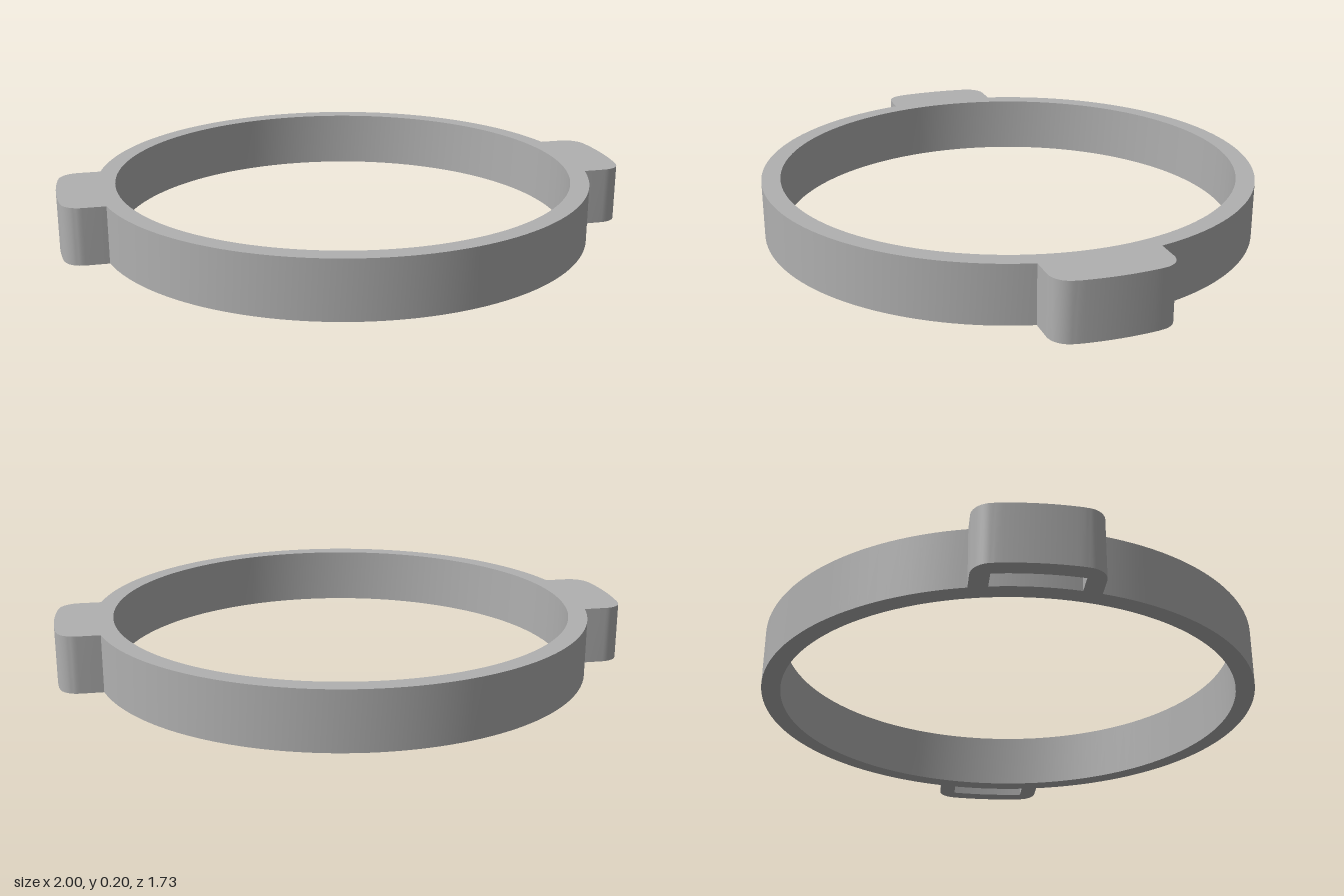
import * as THREE from 'three';
import { toCreasedNormals } from 'three/addons/utils/BufferGeometryUtils.js';

const HEIGHT = 0.2, POCKET_TOP = 0.14;
const INNER = 0.8, OUTER = 0.865, REACH = 1, TAB = 0.2, CORNER = 0.07;

// Points along an arc, both ends included
function arc(r, from, to, n, cx = 0, cy = 0) {
  return Array.from({ length: n + 1 }, (_, i) => {
    const t = from + (to - from) * i / n;
    return new THREE.Vector2(cx + r * Math.cos(t), cy + r * Math.sin(t));
  });
}

const turned = pts => pts.map(p => p.clone().negate());

// Vertical wall along a closed loop; counter-clockwise loops face outward
function wall(loop, y0, y1) {
  const pos = [];
  loop.forEach((a, i) => {
    const b = loop[(i + 1) % loop.length];
    pos.push(a.x, y0, -a.y, b.x, y0, -b.y, b.x, y1, -b.y);
    pos.push(a.x, y0, -a.y, b.x, y1, -b.y, a.x, y1, -a.y);
  });
  const geo = new THREE.BufferGeometry();
  geo.setAttribute('position', new THREE.Float32BufferAttribute(pos, 3));
  return toCreasedNormals(geo, 0.5);
}

// Flat face with holes, looking up or down
function cap(loop, holes, y, up) {
  const shape = new THREE.Shape(loop);
  shape.holes = holes.map(h => new THREE.Path(h));
  return new THREE.ShapeGeometry(shape).rotateX(up ? -Math.PI / 2 : Math.PI / 2).translate(0, y, 0);
}

export function createModel() {
  const group = new THREE.Group();
  const grey = new THREE.MeshStandardMaterial({ color: 0xb0b0b0 });
  grey.name = 'plain grey';
  const add = (name, geo) => {
    const mesh = new THREE.Mesh(geo, grey);
    mesh.name = name;
    group.add(mesh);
  };

  // Half outline: one rounded tab and one side of the ring
  const join = Math.asin(TAB / OUTER);
  const edge = TAB - CORNER, cx = REACH - 0.01 - CORNER;
  const bow = Math.asin(edge / REACH);
  const half = [
    ...arc(CORNER, -Math.PI / 2, -0.1, 10, cx, -edge),
    ...arc(REACH, -bow, bow, 12),
    ...arc(CORNER, 0.1, Math.PI / 2, 10, cx, edge),
    ...arc(OUTER, join, Math.PI - join, 64),
  ];
  const outline = [...half, ...turned(half)];
  const bore = arc(INNER, 0, -2 * Math.PI, 128).slice(0, -1);

  // Pocket inside each tab, open at the bottom
  const a = Math.asin(0.14 / 0.94), b = Math.asin(0.14 / OUTER);
  const pocket = [...arc(0.94, -a, a, 10), ...arc(OUTER, b, -b, 10)];
  const pockets = [pocket, turned(pocket)];

  add('outerWall', wall(outline, 0, HEIGHT));
  add('innerWall', wall(bore, 0, HEIGHT));
  add('topFace', cap(outline, [bore], HEIGHT, true));
  add('bottomFace', cap(outline, [bore, ...pockets], 0, false));
  pockets.forEach((p, i) => {
    const side = i ? 'right' : 'left';
    add(side + 'PocketWall', wall([...p].reverse(), 0, POCKET_TOP));
    add(side + 'PocketCeiling', cap(p, [], POCKET_TOP, false));
  });
  return group;
}
